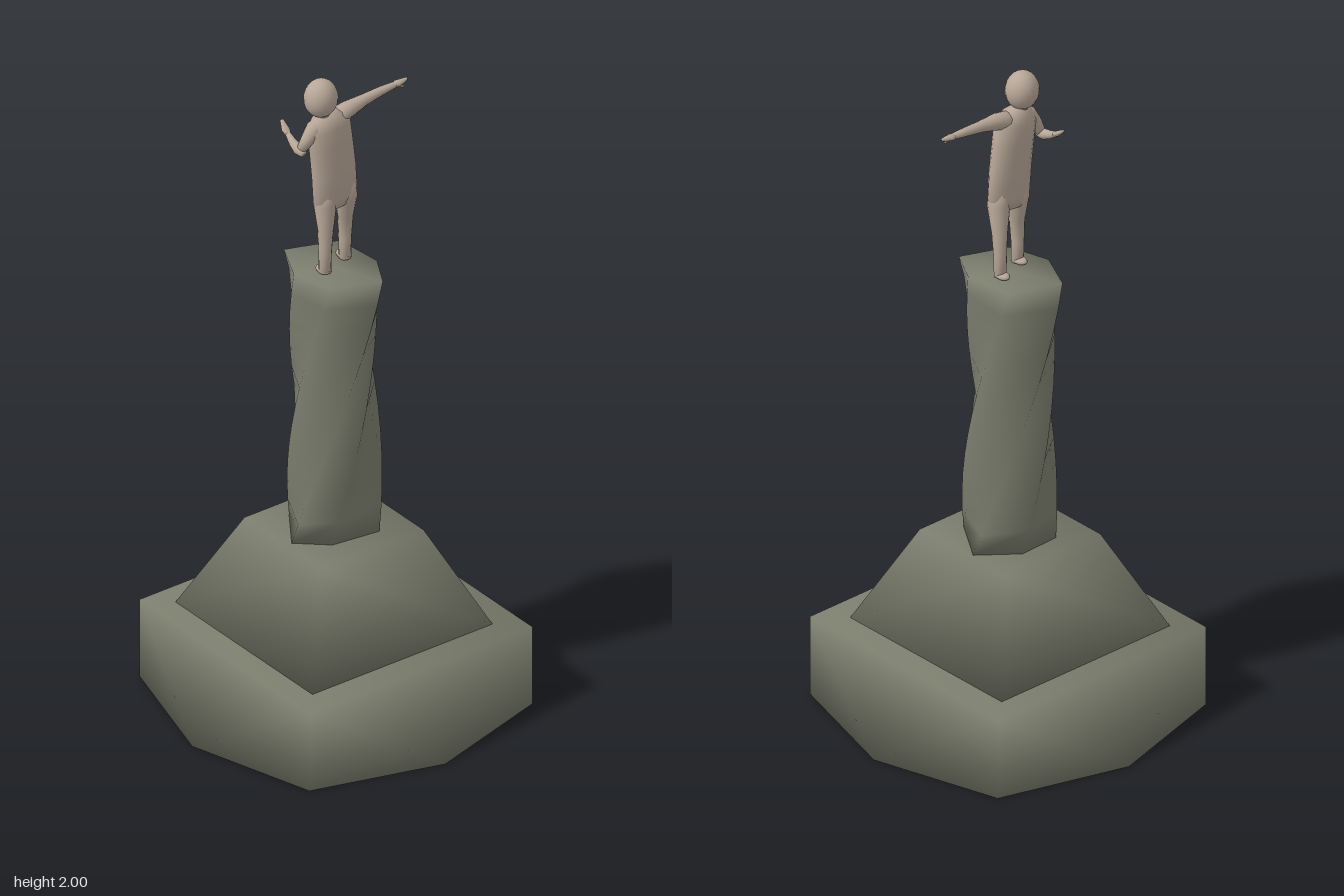
import * as THREE from 'three';
import { mergeVertices } from 'three/addons/utils/BufferGeometryUtils.js';
import { ConvexGeometry } from 'three/addons/geometries/ConvexGeometry.js';

const V = (x, y, z) => new THREE.Vector3(x, y, z);

// Closed skin over rings of equal length, smooth across every edge
function skin(rings) {
  const n = rings[0].length, pos = [], idx = [];
  const centre = r => r.reduce((s, p) => s.add(p), V(0, 0, 0)).divideScalar(n);
  rings.forEach(r => r.forEach(p => pos.push(p.x, p.y, p.z)));
  const lo = n * rings.length, hi = lo + 1, top = lo - n;
  [rings[0], rings[rings.length - 1]].forEach(r => pos.push(...centre(r).toArray()));
  for (let j = 0; j < n; j++) {
    const k = (j + 1) % n;
    for (let i = 0; i < rings.length - 1; i++) {
      const a = i * n + j, b = a + n, d = i * n + k, c = d + n;
      idx.push(a, b, d, d, b, c);
    }
    idx.push(lo, j, k, hi, top + k, top + j);
  }
  const g = new THREE.BufferGeometry();
  g.setAttribute('position', new THREE.Float32BufferAttribute(pos, 3));
  g.setIndex(idx);
  g.computeVertexNormals();
  return g;
}

// Elliptical limb: stations are [x, y, z, radiusA, radiusB], rings face the axis
function limb(stations, sides = 14) {
  const s = stations[0], e = stations[stations.length - 1];
  const axis = V(e[0] - s[0], e[1] - s[1], e[2] - s[2]).normalize();
  const q = new THREE.Quaternion().setFromUnitVectors(V(0, 1, 0), axis);
  return skin(stations.map(([x, y, z, ra, rb = ra]) =>
    Array.from({ length: sides }, (_, j) => {
      const a = j / sides * Math.PI * 2;
      return V(ra * Math.cos(a), 0, rb * Math.sin(a)).applyQuaternion(q).add(V(x, y, z));
    })));
}

// Convex block with softened shading
function block(points) {
  let g = new ConvexGeometry(points);
  g.deleteAttribute('normal');
  g = mergeVertices(g, 1e-4);
  g.computeVertexNormals();
  return g;
}

const square = (h, y, cx = 0, cz = 0) =>
  [[1, 1], [1, -1], [-1, -1], [-1, 1]].map(([x, z]) => V(cx + x * h, y, cz + z * h));

export function createModel() {
  const stone = new THREE.MeshStandardMaterial({ color: 0x7b7d6d });
  stone.name = 'mossy stone';
  const clay = new THREE.MeshStandardMaterial({ color: 0xb8a798 });
  clay.name = 'pale clay';
  const model = new THREE.Group();
  model.name = 'statue';
  const figure = new THREE.Group();
  figure.name = 'figure';
  const add = (parent, name, geo, mat) => {
    const m = new THREE.Mesh(geo, mat);
    m.name = name;
    parent.add(m);
    return m;
  };

  // Lower tier: octagonal foot closing to a square top
  add(model, 'lowerTier', block([
    ...square(0.39, 0), ...square(0.39, 0.25),
    V(0.503, 0, 0), V(-0.503, 0, 0), V(0, 0, 0.503), V(0, 0, -0.503),
  ]), stone);

  // Upper tier: sloped square block
  add(model, 'upperTier', block([
    ...square(0.315, 0.25, -0.004, 0.004), ...square(0.178, 0.54, -0.004, 0.004),
  ]), stone);

  // Column: irregular hexagon twisted from base to top
  const hexagon = [[0.15, -0.05], [0.095, 0.09], [-0.03, 0.125], [-0.155, 0.065], [-0.1, -0.09], [0.05, -0.105]];
  const layers = 12;
  add(model, 'twistedColumn', skin(Array.from({ length: layers + 1 }, (_, i) => {
    const t = i / layers, a = (1 - t) * 1.8, c = Math.cos(a), s = Math.sin(a);
    return hexagon.map(([x, z]) =>
      V(x * c - z * s - 0.005 * (1 - t), 0.54 + 0.84 * t, x * s + z * c + 0.005 * (1 - t)));
  })), stone);

  // Head and neck
  const head = add(figure, 'head', new THREE.SphereGeometry(1, 20, 14), clay);
  head.scale.set(0.047, 0.058, 0.05);
  head.position.set(0, 1.942, 0.053);
  add(figure, 'neck', limb([[0.005, 1.85, 0.042, 0.026], [0, 1.91, 0.05, 0.02]]), clay);

  // Torso, leaning a little towards the bent arm
  add(figure, 'torso', limb([
    [0.006, 1.585, 0.008, 0.026, 0.055], [0.008, 1.62, 0.009, 0.035, 0.074],
    [0.006, 1.7, 0.013, 0.039, 0.073], [0.004, 1.79, 0.022, 0.042, 0.071],
    [0.004, 1.85, 0.03, 0.042, 0.071], [0.004, 1.88, 0.036, 0.032, 0.05],
    [0.002, 1.895, 0.042, 0.016, 0.022],
  ], 18), clay);

  // Legs and feet, one slightly forward of the other
  [['left', 0.018, 0.052, 0.045], ['right', -0.014, -0.042, -0.028]].forEach(([side, x, z, hip]) => {
    add(figure, side + 'Leg', limb([
      [x, 1.385, z, 0.017, 0.018], [x, 1.45, z, 0.02, 0.018], [x + 0.002, 1.52, z, 0.023, 0.022],
      [0.008, 1.6, hip, 0.031, 0.034], [0.008, 1.65, hip * 0.9, 0.03, 0.03],
    ]), clay);
    const foot = add(figure, side + 'Foot', new THREE.SphereGeometry(1, 14, 8), clay);
    foot.scale.set(0.027, 0.011, 0.018);
    foot.position.set(x - 0.008, 1.39, z);
  });

  // Outstretched right arm with a pointing finger
  add(figure, 'rightArm', limb([
    [0.004, 1.862, 0.01, 0.03, 0.026], [0.003, 1.873, -0.04, 0.024, 0.025],
    [0.001, 1.882, -0.1, 0.016, 0.017], [0, 1.888, -0.16, 0.013, 0.013],
    [0, 1.891, -0.205, 0.01, 0.009],
  ]), clay);
  add(figure, 'rightHand', limb([
    [0, 1.89, -0.2, 0.009], [0, 1.892, -0.215, 0.013, 0.009],
    [0, 1.893, -0.228, 0.01, 0.008], [0, 1.896, -0.247, 0.005, 0.004],
  ], 10), clay);
  add(figure, 'rightThumb', limb([[0.002, 1.89, -0.21, 0.006], [0.006, 1.878, -0.232, 0.003]], 8), clay);

  // Bent left arm: elbow back at the side, hand raised in front
  add(figure, 'leftUpperArm', limb([
    [-0.012, 1.79, 0.112, 0.014], [0, 1.82, 0.102, 0.019], [0.004, 1.855, 0.078, 0.024], [0.004, 1.872, 0.06, 0.018],
  ]), clay);
  add(figure, 'leftForearm', limb([
    [0.0, 1.78, 0.113, 0.011], [-0.022, 1.785, 0.114, 0.016], [-0.05, 1.795, 0.113, 0.012], [-0.078, 1.81, 0.11, 0.008],
  ]), clay);
  add(figure, 'leftHand', limb([
    [-0.072, 1.806, 0.11, 0.008], [-0.088, 1.817, 0.109, 0.008, 0.013], [-0.112, 1.836, 0.105, 0.004, 0.006],
  ], 10), clay);

  model.add(figure);
  return model;
}
